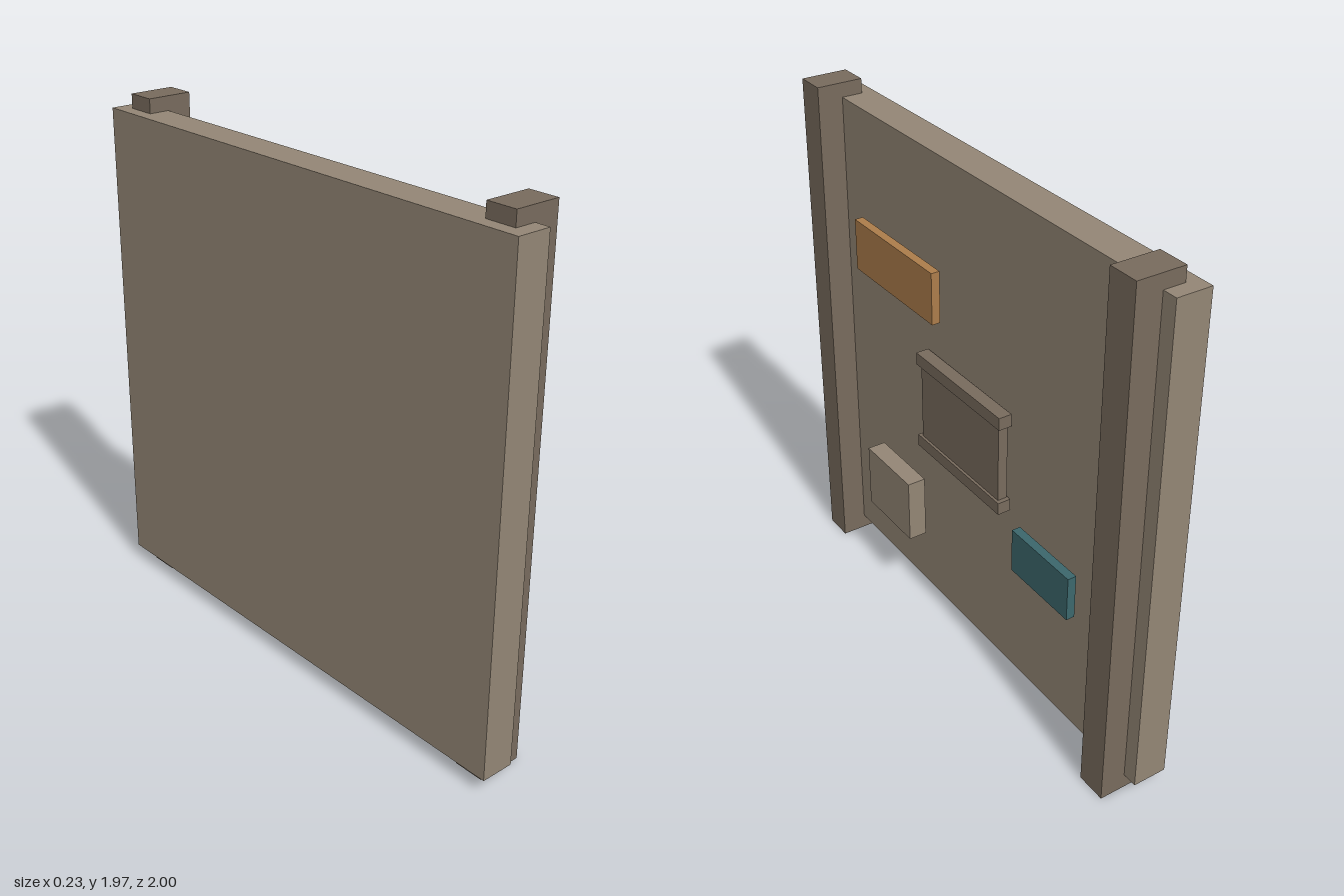
import * as THREE from 'three';

const mat = (color) => new THREE.MeshStandardMaterial({ color });

export function createModel() {
  const model = new THREE.Group();
  const tan = mat(0x938675);
  const brown = mat(0x786b5d);
  const orange = mat(0xac7d4b);
  const teal = mat(0x3c676c);

  // Box given by its [min, max] extent along each axis
  const block = (name, material, [x0, x1], [y0, y1], [z0, z1], parent = model) => {
    const mesh = new THREE.Mesh(new THREE.BoxGeometry(x1 - x0, y1 - y0, z1 - z0), material);
    mesh.position.set((x0 + x1) / 2, (y0 + y1) / 2, (z0 + z1) / 2);
    mesh.name = name;
    parent.add(mesh);
  };

  // Main wall slab
  block('wallSlab', tan, [-0.113, 0.017], [0.057, 1.914], [-1, 1]);

  // Posts running the full height near both ends
  block('frontPost', brown, [-0.063, 0.113], [0, 1.968], [0.829, 0.944]);
  block('backPost', brown, [-0.063, 0.113], [0, 1.968], [-0.944, -0.829]);

  // Central hatch: plate between two slightly wider rails
  const hatch = new THREE.Group();
  hatch.name = 'centralHatch';
  model.add(hatch);
  block('hatchPlate', brown, [0.03, 0.067], [0.78, 1.13], [-0.244, 0.244], hatch);
  block('lowerRail', brown, [0.027, 0.077], [0.76, 0.807], [-0.261, 0.261], hatch);
  block('upperRail', brown, [0.027, 0.077], [1.107, 1.155], [-0.261, 0.261], hatch);

  // Panels standing just off the wall
  block('orangePanel', orange, [0.036, 0.069], [1.309, 1.508], [0.163, 0.684]);
  block('tealPanel', teal, [0.036, 0.069], [0.564, 0.737], [-0.655, -0.334]);
  block('raisedBlock', tan, [0.03, 0.102], [0.304, 0.562], [0.302, 0.604]);

  return model;
}
